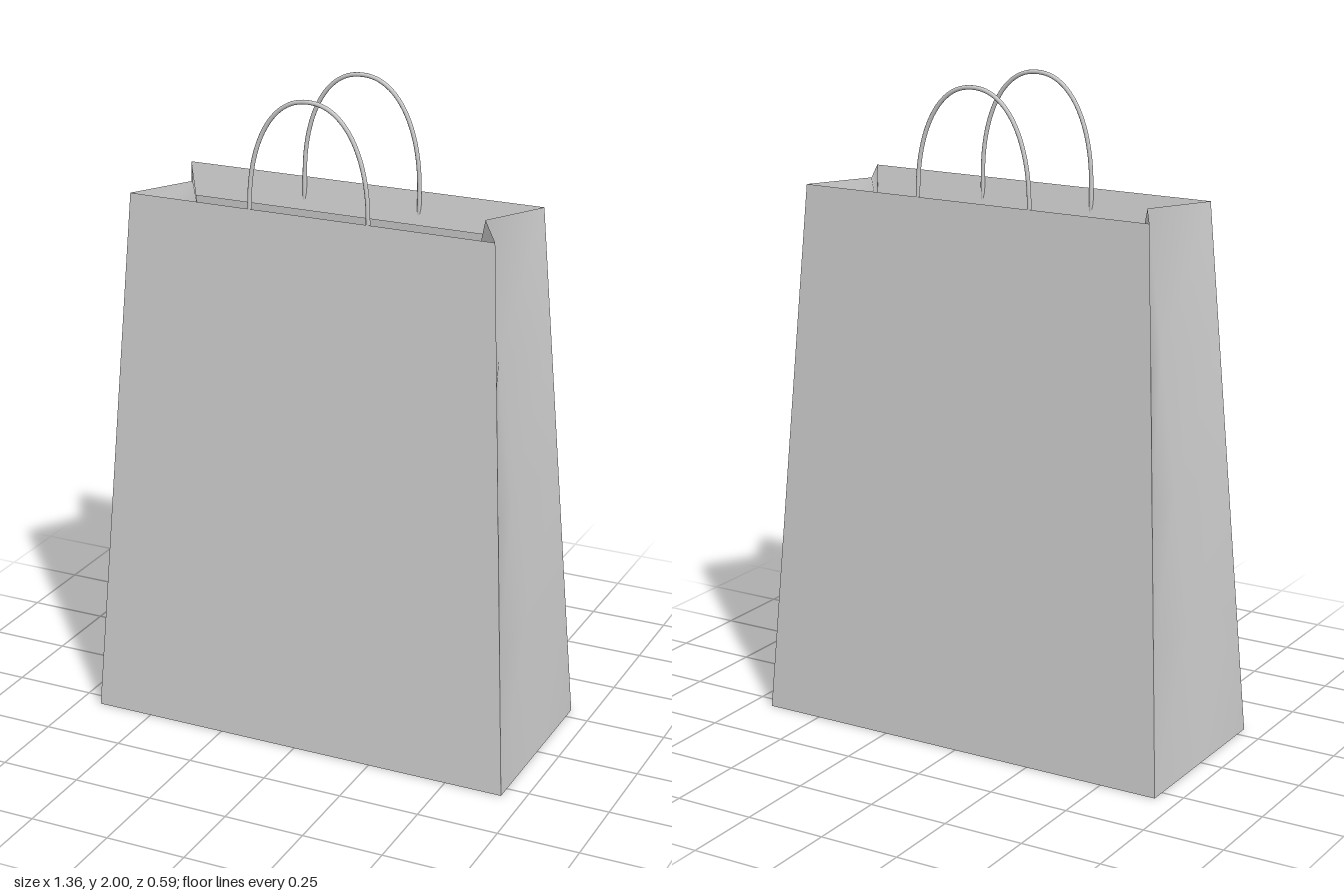
import * as THREE from 'three';

const paper = new THREE.MeshStandardMaterial({ color: 0xcccccc, side: THREE.DoubleSide });

// Sheet through rows of points: rows run bottom to top, points left to right as seen from its face
function sheet(name, rows) {
  const n = rows[0].length, index = [];
  for (let r = 0; r < rows.length - 1; r++) {
    for (let c = 0; c < n - 1; c++) {
      const a = r * n + c, b = a + 1, d = a + n, e = d + 1;
      index.push(a, b, e, a, e, d);
    }
  }
  const geo = new THREE.BufferGeometry();
  geo.setAttribute('position', new THREE.Float32BufferAttribute(rows.flat(2), 3));
  geo.setIndex(index);
  geo.computeVertexNormals();
  const mesh = new THREE.Mesh(geo, paper);
  mesh.name = name;
  return mesh;
}

export function createModel() {
  const bag = new THREE.Group();
  bag.name = 'paperBag';

  const H = 1.66, hemY = 1.56;
  const base = { x: 0.68, z: 0.297 }, rim = { x: 0.578, z: 0.19, fold: 0.472 };
  const hem = { x: 0.563, z: 0.17, fold: 0.453 };

  // Floor
  bag.add(sheet('floor', [-1, 1].map(s => [[-base.x, 0, s * base.z], [base.x, 0, s * base.z]])));

  // Each half holds a broad panel, a gusset, their inner hem and a handle; the other is turned about y
  for (const side of ['front', 'back']) {
    const half = new THREE.Group();
    half.name = side + 'Half';
    if (side === 'back') half.rotation.y = Math.PI;

    half.add(sheet(side + 'Panel', [
      [[-base.x, 0, base.z], [base.x, 0, base.z]],
      [[-rim.x, H, rim.z], [rim.x, H, rim.z]],
    ]));

    // Side gusset, folding further inward towards the rim
    const gussetRow = t => {
      const x = THREE.MathUtils.lerp(base.x, rim.x, t);
      const z = THREE.MathUtils.lerp(base.z, rim.z, t);
      const fold = THREE.MathUtils.lerp(base.x, rim.fold, t);
      return [[x, t * H, z], [fold, t * H, 0], [x, t * H, -z]];
    };
    half.add(sheet('sideGusset', [0, 0.25, 0.5, 0.75, 1].map(gussetRow)));

    // Hem turned down inside the mouth
    half.add(sheet(side + 'Hem', [
      [[hem.x, hemY, hem.z], [-hem.x, hemY, hem.z]],
      [[rim.x, H, rim.z], [-rim.x, H, rim.z]],
    ]));
    half.add(sheet('gussetHem', [
      [[hem.x, hemY, -hem.z], [hem.fold, hemY, 0], [hem.x, hemY, hem.z]],
      [[rim.x, H, -rim.z], [rim.fold, H, 0], [rim.x, H, rim.z]],
    ]));

    // Cord handle: a slightly squared arch with ends tucked behind the hem
    const points = [new THREE.Vector3(-0.188, 1.57, 0.182)];
    for (let i = 0; i <= 16; i++) {
      const a = Math.PI * (1 - i / 16), c = Math.cos(a), s = Math.sin(a);
      points.push(new THREE.Vector3(
        0.188 * Math.sign(c) * Math.abs(c) ** 0.92, H + 0.333 * Math.max(s, 0) ** 0.92, 0.182));
    }
    points.push(new THREE.Vector3(0.188, 1.57, 0.182));
    const cord = new THREE.TubeGeometry(new THREE.CatmullRomCurve3(points), 72, 0.0065, 10);
    const handle = new THREE.Mesh(cord, paper);
    handle.name = side + 'Handle';
    half.add(handle);

    bag.add(half);
  }
  return bag;
}
